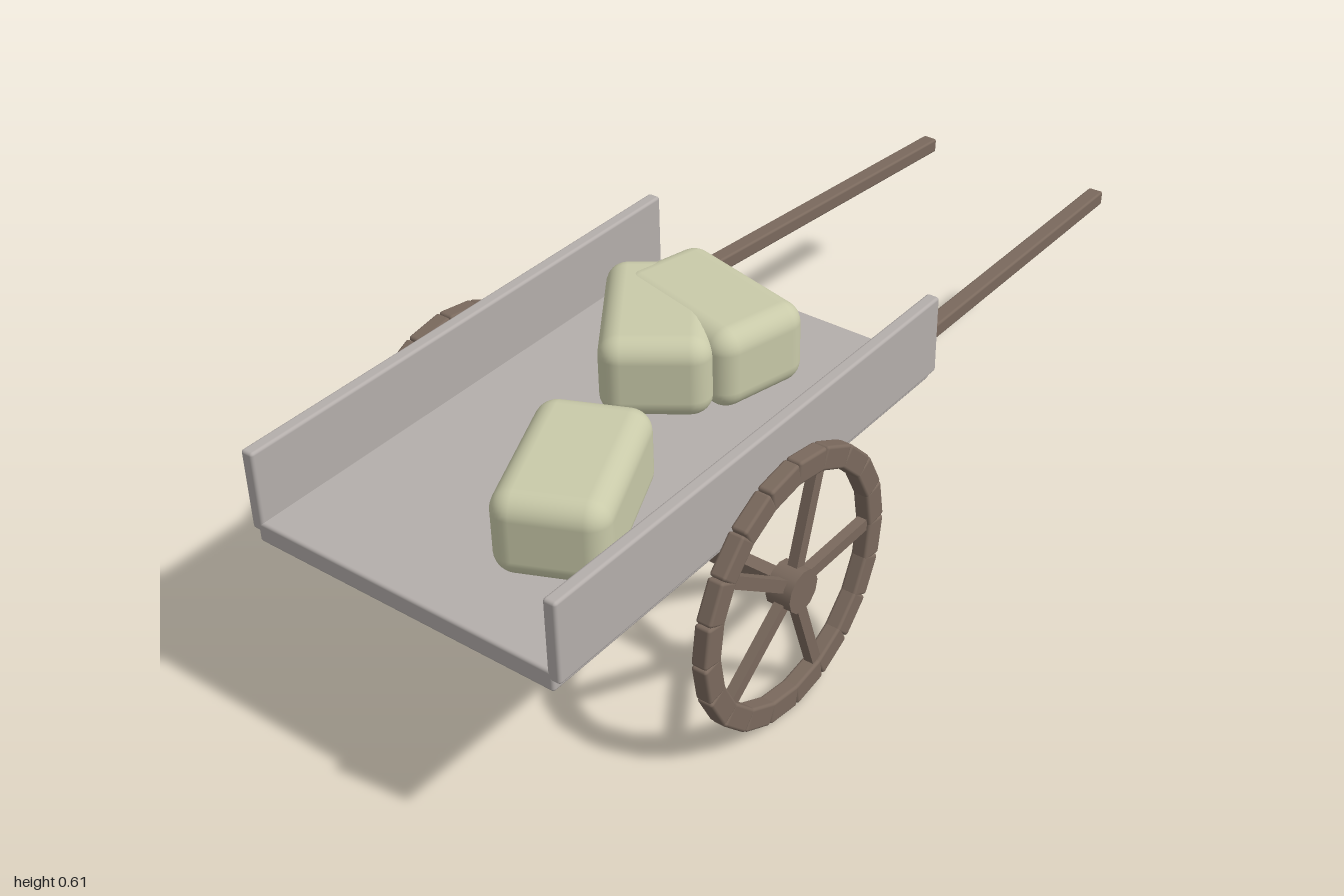
import * as THREE from 'three';
import { RoundedBoxGeometry } from 'three/addons/geometries/RoundedBoxGeometry.js';

const material = (name, color) => {
  const m = new THREE.MeshStandardMaterial({ color });
  m.name = name;
  return m;
};

export function createModel() {
  const cart = new THREE.Group();
  cart.name = 'handCart';
  const board = material('paleBoard', 0xb4aeab);
  const wood = material('darkWood', 0x7a695d);
  const cloth = material('sackCloth', 0xc9caa9);

  const add = (parent, name, geometry, mat, x, y, z) => {
    const mesh = new THREE.Mesh(geometry, mat);
    mesh.name = name;
    mesh.position.set(x, y, z);
    parent.add(mesh);
    return mesh;
  };

  // Bed and side boards
  add(cart, 'bed', new RoundedBoxGeometry(0.664, 0.042, 1.11, 2, 0.006), board, 0, 0.411, 0.445);
  const sideGeo = new RoundedBoxGeometry(0.027, 0.165, 1.11, 2, 0.006);
  for (const s of [1, -1]) {
    add(cart, s > 0 ? 'leftSideBoard' : 'rightSideBoard', sideGeo, board, s * 0.333, 0.495, 0.445);
  }

  // Handles converge slightly and slope down towards the back
  for (const s of [1, -1]) {
    const start = new THREE.Vector3(s * 0.252, 0.405, -0.108);
    const end = new THREE.Vector3(s * 0.218, 0.358, -0.999);
    const mid = start.clone().lerp(end, 0.5);
    const geo = new RoundedBoxGeometry(0.034, 0.032, start.distanceTo(end), 2, 0.005);
    add(cart, s > 0 ? 'leftHandle' : 'rightHandle', geo, wood, mid.x, mid.y, mid.z).lookAt(end);
  }

  // Axle
  add(cart, 'axle', new THREE.BoxGeometry(0.77, 0.03, 0.03), wood, 0, 0.274, 0.445);

  // Wheels: rim of short blocks, five spokes and a hub
  const blockGeo = new RoundedBoxGeometry(0.033, 0.046, 0.082, 2, 0.006);
  const spokeGeo = new THREE.BoxGeometry(0.02, 0.23, 0.024);
  const hubGeo = new THREE.CylinderGeometry(0.043, 0.043, 0.052, 12).rotateZ(Math.PI / 2);
  const around = (wheel, name, geo, radius, angle) => {
    const y = Math.cos(angle) * radius, z = Math.sin(angle) * radius;
    add(wheel, name, geo, wood, 0, y, z).rotation.x = angle;
  };
  for (const s of [1, -1]) {
    const wheel = new THREE.Group();
    wheel.name = s > 0 ? 'leftWheel' : 'rightWheel';
    wheel.position.set(s * 0.4, 0.273, 0.445);
    for (let i = 0; i < 20; i++) around(wheel, 'rimBlock', blockGeo, 0.247, (i + 0.5) * Math.PI / 10);
    for (let i = 0; i < 5; i++) around(wheel, 'spoke', spokeGeo, 0.12, i * Math.PI * 0.4 - Math.PI / 2);
    add(wheel, 'hub', hubGeo, wood, 0, 0, 0);
    cart.add(wheel);
  }

  // Sacks: [x, y, z, turn]
  const sackGeo = new RoundedBoxGeometry(0.21, 0.166, 0.33, 4, 0.042);
  [
    [0.13, 0.523, 0.7, 0.42],
    [0.005, 0.524, 0.155, 1.33],
    [-0.05, 0.522, 0.24, 0.62],
  ].forEach(([x, y, z, turn], i) => {
    add(cart, 'sack' + (i + 1), sackGeo, cloth, x, y, z).rotation.y = turn;
  });

  return cart;
}
